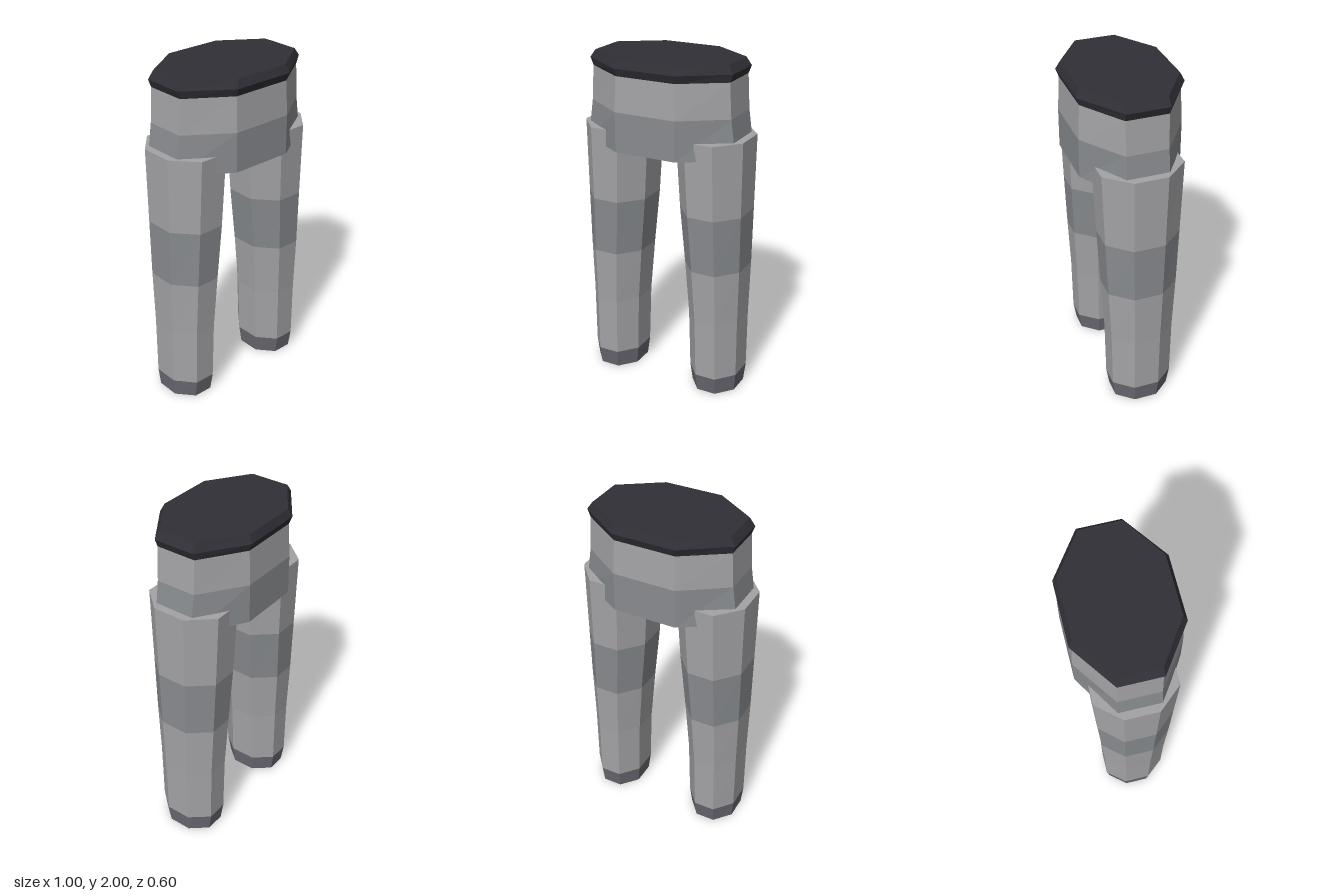
import * as THREE from 'three';

const paint = (color) => new THREE.MeshStandardMaterial({ color, flatShading: true });

// Eight-sided outline; fx and fz are the half lengths of its flat front and side edges
function ring([y, cx, hx, hz, fx = hx * 0.414, fz = hz * 0.414]) {
  return [[-fx, hz], [fx, hz], [hx, fz], [hx, -fz], [fx, -hz], [-fx, -hz], [-hx, -fz], [-hx, fz]]
    .map(([x, z]) => [cx + x, y, z]);
}

// Skins a stack of rings from bottom to top, with optional flat ends
function loft(name, rings, material, capBottom, capTop) {
  const loops = rings.map(ring);
  const pos = [];
  const tri = (...points) => points.forEach((p) => pos.push(...p));
  for (let k = 0; k < loops.length - 1; k++) {
    const a = loops[k], b = loops[k + 1];
    for (let i = 0; i < 8; i++) {
      const j = (i + 1) % 8;
      tri(a[i], a[j], b[j]);
      tri(a[i], b[j], b[i]);
    }
  }
  const bottom = loops[0], top = loops[loops.length - 1];
  for (let i = 1; i < 7; i++) {
    if (capBottom) tri(bottom[0], bottom[i + 1], bottom[i]);
    if (capTop) tri(top[0], top[i], top[i + 1]);
  }
  const geometry = new THREE.BufferGeometry();
  geometry.setAttribute('position', new THREE.Float32BufferAttribute(pos, 3));
  geometry.computeVertexNormals();
  const mesh = new THREE.Mesh(geometry, material);
  mesh.name = name;
  return mesh;
}

export function createModel() {
  const model = new THREE.Group();
  model.name = 'trousers';
  const cloth = paint(0xa3a3a6);
  const worn = paint(0x888b8f);
  const cuff = paint(0x6b6972);
  const belt = paint(0x302f36);

  // Hips: a darker seat below, plain cloth above
  const hips = new THREE.Group();
  hips.name = 'hips';
  const seatTop = [1.71, 0, 0.437, 0.295, 0.185, 0.12];
  const waist = [1.91, 0, 0.425, 0.285, 0.18, 0.12];
  hips.add(
    loft('seat', [[1.48, 0, 0.47, 0.295, 0.185, 0.12], seatTop], worn, true, false),
    loft('upperHips', [seatTop, waist], cloth, false, true),
  );
  model.add(hips);

  // Belt with a ridge around the middle
  model.add(loft('belt', [
    [1.91, 0, 0.425, 0.285, 0.18, 0.12],
    [1.955, 0, 0.442, 0.302, 0.185, 0.122],
    [2.0, 0, 0.41, 0.28, 0.172, 0.118],
  ], belt, true, true));

  // Legs: cuff, shin, knee and thigh
  for (const side of [1, -1]) {
    const leg = new THREE.Group();
    leg.name = side > 0 ? 'leftLeg' : 'rightLeg';
    const hem = [0, side * 0.338, 0.14, 0.167];
    const ankle = [0.11, side * 0.337, 0.152, 0.184];
    const calf = [0.47, side * 0.332, 0.158, 0.19];
    const kneeLow = [0.8, side * 0.322, 0.174, 0.206];
    const kneeHigh = [1.14, side * 0.307, 0.191, 0.22];
    const thighTop = [1.58, side * 0.295, 0.206, 0.236];
    leg.add(
      loft('cuff', [hem, ankle], cuff, true, false),
      loft('shin', [ankle, calf, kneeLow], cloth, false, false),
      loft('knee', [kneeLow, kneeHigh], worn, false, false),
      loft('thigh', [kneeHigh, thighTop], cloth, false, true),
    );
    model.add(leg);
  }
  return model;
}
